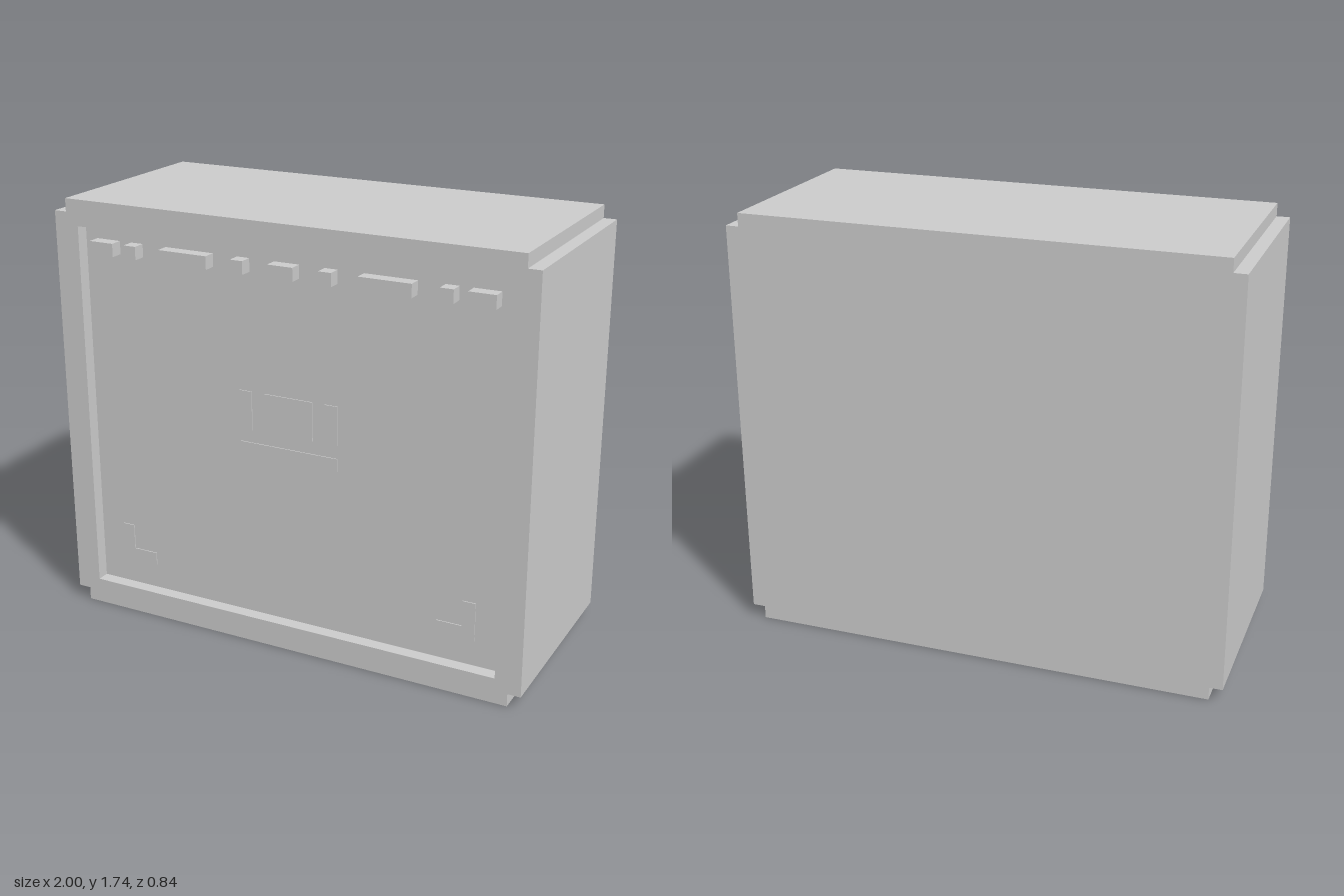
import * as THREE from 'three';

// Everything sits on a square module: the cabinet is 38 x 33 x 16 units
const U = 1 / 19;
const FLOOR = 7; // depth of the recessed panel
const FRONT = 8; // depth of the front rim

const material = new THREE.MeshStandardMaterial({ color: 0xcccccc, flatShading: true });

// Cabinet outline with a square notch in each corner
function cabinetOutline() {
  const pts = [
    [-18, 0], [18, 0], [18, 1], [19, 1], [19, 32], [18, 32],
    [18, 33], [-18, 33], [-18, 32], [-19, 32], [-19, 1], [-18, 1],
  ];
  return new THREE.Shape(pts.map(([x, y]) => new THREE.Vector2(x * U, y * U)));
}

function extruded(name, shape, z0, z1) {
  const geometry = new THREE.ExtrudeGeometry(shape, { depth: (z1 - z0) * U, bevelEnabled: false });
  geometry.translate(0, 0, z0 * U);
  const mesh = new THREE.Mesh(geometry, material);
  mesh.name = name;
  return mesh;
}

// Box standing on the recessed panel, given by its extents in units
function panelBox(name, x0, x1, y0, y1, height) {
  const geometry = new THREE.BoxGeometry((x1 - x0) * U, (y1 - y0) * U, height * U);
  const mesh = new THREE.Mesh(geometry, material);
  mesh.position.set(((x0 + x1) / 2) * U, ((y0 + y1) / 2) * U, (FLOOR + height / 2) * U);
  mesh.name = name;
  return mesh;
}

export function createModel() {
  const model = new THREE.Group();
  model.name = 'cabinet';

  // Solid body and the rim around the recessed front panel
  model.add(extruded('body', cabinetOutline(), -8, FLOOR));
  const rim = cabinetOutline();
  rim.holes.push(new THREE.Path(
    [[-17, 2], [-17, 31], [17, 31], [17, 2]].map(([x, y]) => new THREE.Vector2(x * U, y * U)),
  ));
  model.add(extruded('frontRim', rim, FLOOR, FRONT));

  // Row of raised blocks along the top, symmetric about the middle
  const blocks = new THREE.Group();
  blocks.name = 'topBlocks';
  blocks.add(panelBox('block', -1, 1, 29, 30, 1));
  for (const [a, b] of [[3, 4], [6, 10], [12, 13], [14, 16]]) {
    blocks.add(panelBox('block', a, b, 29, 30, 1));
    blocks.add(panelBox('block', -b, -a, 29, 30, 1));
  }
  model.add(blocks);

  // Very shallow relief: centre emblem and corner brackets
  const relief = 0.08;
  const emblem = new THREE.Group();
  emblem.name = 'centreRelief';
  for (const [a, b] of [[-4, -3], [-2, 2], [3, 4]]) {
    emblem.add(panelBox('reliefBlock', a, b, 17, 20, relief));
  }
  emblem.add(panelBox('reliefBar', -4, 4, 15, 16, relief));
  model.add(emblem);

  const brackets = new THREE.Group();
  brackets.name = 'cornerBrackets';
  for (const s of [-1, 1]) {
    const span = (a, b) => (s > 0 ? [a, b] : [-b, -a]);
    brackets.add(panelBox('bracketUpright', ...span(14, 15), 4, 7, relief));
    brackets.add(panelBox('bracketFoot', ...span(12, 14), 4, 5, relief));
  }
  model.add(brackets);

  return model;
}
